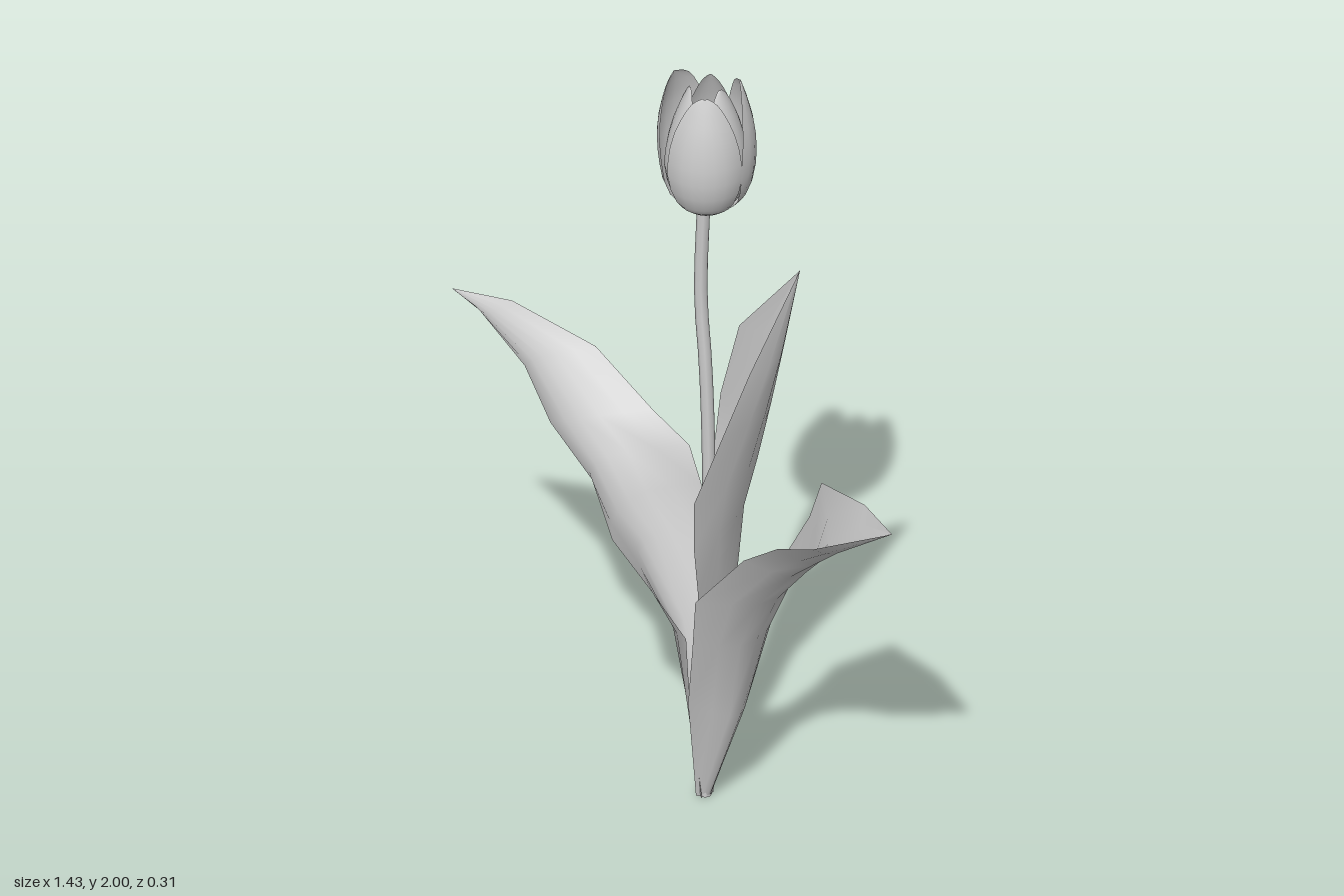
import * as THREE from 'three';

const material = new THREE.MeshStandardMaterial({ color: 0xcccccc, side: THREE.DoubleSide });

// Smooth surface through equal-length rows of points
function loft(rows) {
  const n = rows[0].length, index = [];
  for (let i = 0; i < rows.length - 1; i++) {
    for (let j = 0; j < n - 1; j++) {
      const a = i * n + j, b = a + n;
      index.push(a, a + 1, b, a + 1, b + 1, b);
    }
  }
  const geometry = new THREE.BufferGeometry().setFromPoints(rows.flat());
  geometry.setIndex(index);
  geometry.computeVertexNormals();
  return geometry;
}

function addMesh(parent, name, geometry) {
  const mesh = new THREE.Mesh(geometry, material);
  mesh.name = name;
  parent.add(mesh);
  return mesh;
}

// Each row holds one edge, the midrib and the other edge; a parabola joins them
function leafGeometry(sections) {
  const across = 6;
  return loft(sections.map(([a, m, b]) => Array.from({ length: across + 1 }, (_, j) => {
    const s = j / across;
    const wa = (1 - s) * (1 - 2 * s), wm = 4 * s * (1 - s), wb = s * (2 * s - 1);
    return new THREE.Vector3(...[0, 1, 2].map(k => wa * a[k] + wm * m[k] + wb * b[k]));
  })));
}

const leaves = {
  leftLeaf: [
    [[0.045, 0, -0.02], [0.07, 0, 0], [0.045, 0, 0.02]],
    [[0.075, 0.3, -0.08], [0.17, 0.27, 0], [0.075, 0.3, 0.08]],
    [[0.15, 0.53, -0.14], [0.22, 0.5, 0], [0.15, 0.53, 0.145]],
    [[0.18, 0.66, -0.15], [0.29, 0.65, 0], [0.17, 0.66, 0.158]],
    [[0.26, 0.8, -0.145], [0.38, 0.76, 0], [0.31, 0.83, 0.14]],
    [[0.34, 0.95, -0.1], [0.46, 0.845, 0.02], [0.42, 0.91, 0.14]],
    [[0.53, 0.995, -0.045], [0.56, 0.93, 0.05], [0.53, 0.955, 0.14]],
    [[0.715, 1.04, 0.06], [0.715, 1.04, 0.06], [0.715, 1.04, 0.06]],
  ],
  rightLeaf: [
    [[0.065, 0, 0.02], [0.04, 0, 0], [0.065, 0, -0.02]],
    [[0.055, 0.24, 0.05], [0.02, 0.2, 0], [0.055, 0.24, -0.05]],
    [[0.05, 0.46, 0.06], [-0.04, 0.44, 0], [0.02, 0.46, -0.08]],
    [[-0.03, 0.57, 0.09], [-0.14, 0.64, 0.01], [-0.03, 0.57, -0.11]],
    [[-0.11, 0.71, 0.145], [-0.18, 0.73, 0.01], [-0.08, 0.75, -0.135]],
    [[-0.19, 0.84, 0.13], [-0.25, 0.82, 0.01], [-0.1, 0.86, -0.115]],
    [[-0.31, 0.955, 0.145], [-0.33, 0.9, 0.02], [-0.22, 0.91, -0.115]],
    [[-0.43, 1.045, 0.105], [-0.45, 1.02, 0.02], [-0.38, 1.03, -0.09]],
    [[-0.59, 1.14, 0.1], [-0.6, 1.09, 0.04], [-0.6, 1.09, -0.035]],
    [[-0.72, 1.11, 0.045], [-0.72, 1.11, 0.045], [-0.72, 1.11, 0.045]],
  ],
  backLeaf: [
    [[0.04, 0, -0.015], [0.06, 0, -0.02], [0.07, 0, 0]],
    [[0.025, 0.3, -0.05], [0.075, 0.3, -0.06], [0.08, 0.3, 0.03]],
    [[-0.005, 0.5, -0.085], [0.08, 0.5, -0.08], [0.1, 0.5, 0.07]],
    [[-0.02, 0.62, -0.11], [0.08, 0.62, -0.09], [0.125, 0.64, 0.1]],
    [[-0.03, 0.8, -0.12], [0.09, 0.78, -0.1], [0.135, 0.78, 0.125]],
    [[-0.025, 0.92, -0.125], [0.12, 0.92, -0.115], [0.13, 0.9, 0.12]],
    [[0, 1.05, -0.115], [0.15, 1.08, -0.13], [0.165, 1.07, 0.06]],
    [[0.065, 1.27, -0.11], [0.18, 1.24, -0.14], [0.19, 1.23, -0.01]],
    [[0.22, 1.47, -0.155], [0.22, 1.47, -0.155], [0.22, 1.47, -0.155]],
  ],
};

// Petal profile: radius, height, half angle of the span
const petalProfile = new THREE.CatmullRomCurve3([
  [0.012, 0, 0.9], [0.06, 0.006, 0.8], [0.095, 0.04, 0.85], [0.117, 0.12, 0.95],
  [0.115, 0.2, 0.9], [0.1, 0.27, 0.74], [0.084, 0.32, 0.45], [0.078, 0.338, 0.08],
].map(p => new THREE.Vector3(...p)));

// Curved petal; flare moves its upper half outwards
function petalGeometry(scale, flare) {
  const across = 8;
  return loft(petalProfile.getPoints(14).map(({ x: r, y, z: half }) => {
    const radius = r * scale + flare * Math.max(0, y - 0.12) / 0.22;
    return Array.from({ length: across + 1 }, (_, j) => {
      const s = 2 * j / across - 1, angle = s * half;
      const bow = radius * (1 - 0.06 * s * s);
      return new THREE.Vector3(bow * Math.cos(angle), y, bow * Math.sin(angle));
    });
  }));
}

export function createModel() {
  const model = new THREE.Group();
  model.name = 'tulip';

  // Gently bent stem
  const stemPath = new THREE.CatmullRomCurve3([
    [0.056, 0], [0.06, 0.4], [0.068, 0.9], [0.058, 1.2], [0.042, 1.4], [0.052, 1.67],
  ].map(([x, y]) => new THREE.Vector3(x, y, 0)));
  addMesh(model, 'stem', new THREE.TubeGeometry(stemPath, 20, 0.016, 8));

  for (const [name, sections] of Object.entries(leaves)) {
    addMesh(model, name, leafGeometry(sections));
  }

  // Flower head: three outer petals around three inner ones that close over the centre
  const flower = new THREE.Group();
  flower.name = 'flower';
  flower.position.set(0.062, 1.66, 0);
  model.add(flower);
  const inner = petalGeometry(0.88, -0.025);
  [[-55, 0.005], [52, -0.008], [175, 0.022]].forEach(([degrees, flare], i) => {
    const petal = addMesh(flower, 'outerPetal', petalGeometry(1, flare));
    petal.rotation.y = -THREE.MathUtils.degToRad(degrees);
    const innerPetal = addMesh(flower, 'innerPetal', inner);
    innerPetal.rotation.y = -THREE.MathUtils.degToRad(i * 120);
    innerPetal.position.y = 0.002;
  });
  return model;
}
